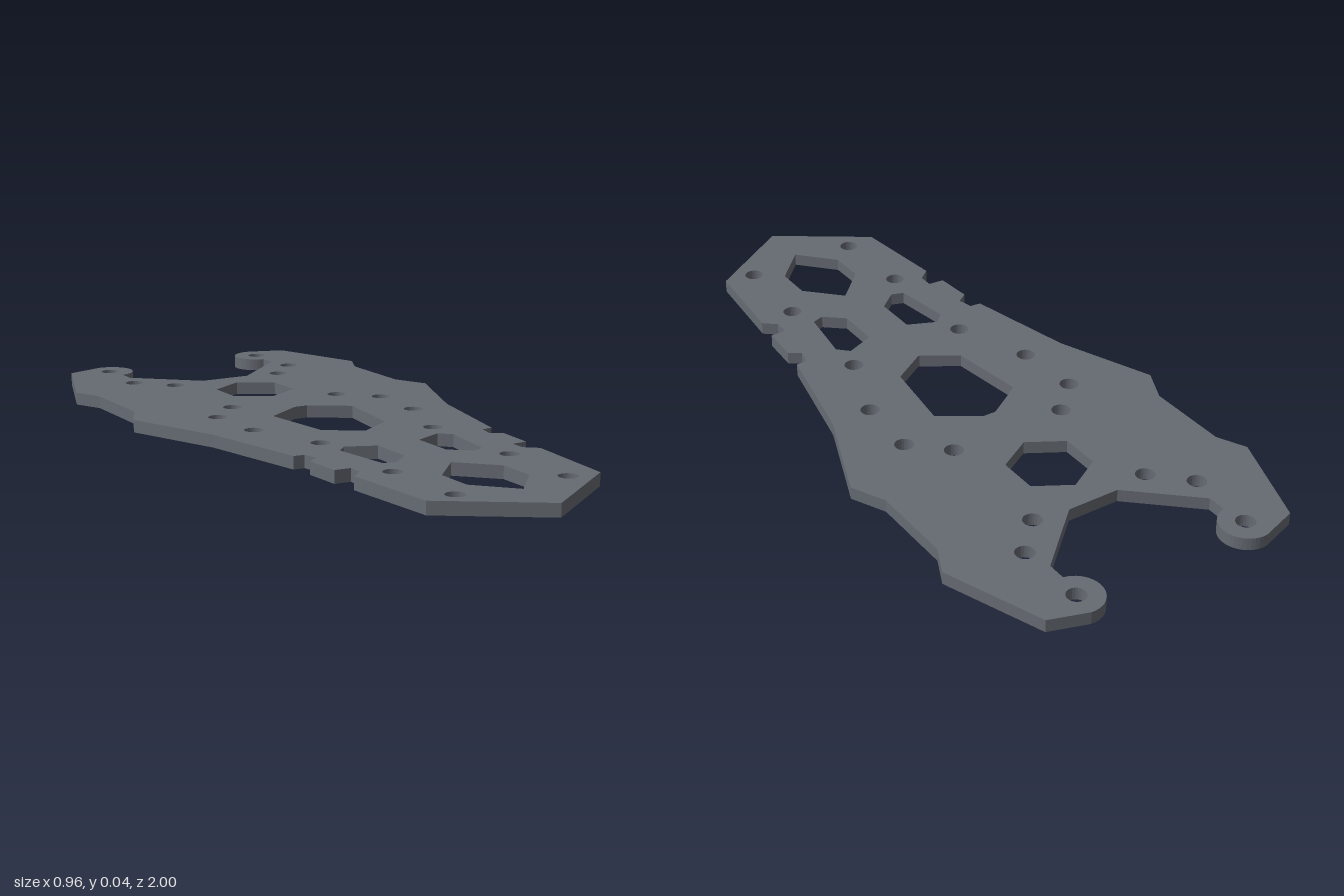
import * as THREE from 'three';

const THICKNESS = 0.035;

// Points are [x, z] on the plate; shape space uses y = -z
const toVec = ([x, z]) => new THREE.Vector2(x, -z);
const mirror = (pts) => pts.map(([x, z]) => [-x, z]);
const closedMirror = (half) => [...half, ...mirror(half).reverse()];

function arc(cx, cz, r, from, to, n) {
  return Array.from({ length: n + 1 }, (_, i) => {
    const a = from + ((to - from) * i) / n;
    return [cx + r * Math.cos(a), cz + r * Math.sin(a)];
  });
}

export function createModel() {
  const group = new THREE.Group();
  group.name = 'framePlate';

  // Left half of the outline, from the nose tip to the rear notch
  const outline = [
    [0.254, 0.825], [0.28, 0.55], [0.245, 0.52], [0.245, 0.478],
    [0.29, 0.475], [0.297, 0.368], [0.265, 0.345], [0.275, 0.303], [0.306, 0.3],
    [0.372, -0.01], [0.478, -0.28], [0.433, -0.375], [0.433, -0.61],
    [0.471, -0.69], [0.37, -0.965],
    // rounded hook end
    ...arc(0.257, -0.93, 0.07, -1.45, -4.54, 20),
    [0.245, -0.81], [0.075, -0.655],
  ];
  const shape = new THREE.Shape([[0, 1], ...outline, ...mirror(outline).reverse()].map(toVec));
  const cut = (pts) => shape.holes.push(new THREE.Path(pts.map(toVec)));

  // Centre windows
  cut([[0, -0.58], ...closedMirror([[0.098, -0.523], [0.098, -0.412]]).slice(0, 2), [0, -0.355],
    [-0.098, -0.412], [-0.098, -0.523]]);
  cut(closedMirror([[0.02, -0.196], [0.128, -0.125], [0.1, 0.09], [0.002, 0.153]]));
  cut([[0, 0.555], [0.092, 0.65], [0.092, 0.755], [0, 0.855], [-0.092, 0.755], [-0.092, 0.65]]);

  // Paired side windows
  const sideWindow = [[0.145, 0.28], [0.175, 0.31], [0.152, 0.475],
    [0.118, 0.487], [0.063, 0.44], [0.063, 0.315]];
  cut(sideWindow);
  cut(mirror(sideWindow));

  // Paired screw holes
  const screws = [
    [0.257, -0.93], [0.265, -0.735], [0.175, -0.64], [0.171, -0.285], [0.265, -0.193],
    [0.254, -0.005], [0.175, 0.212], [0.175, 0.56], [0.165, 0.813],
  ];
  for (const [x, z] of [...screws, ...mirror(screws)]) {
    cut(arc(x, z, 0.026, 0, Math.PI * 2, 24).slice(0, -1));
  }

  // Flat plate lying on the ground
  const geometry = new THREE.ExtrudeGeometry(shape, { depth: THICKNESS, bevelEnabled: false });
  geometry.rotateX(-Math.PI / 2);
  const plate = new THREE.Mesh(geometry, new THREE.MeshStandardMaterial({ color: 0x666b73 }));
  plate.name = 'plate';
  group.add(plate);
  return group;
}
